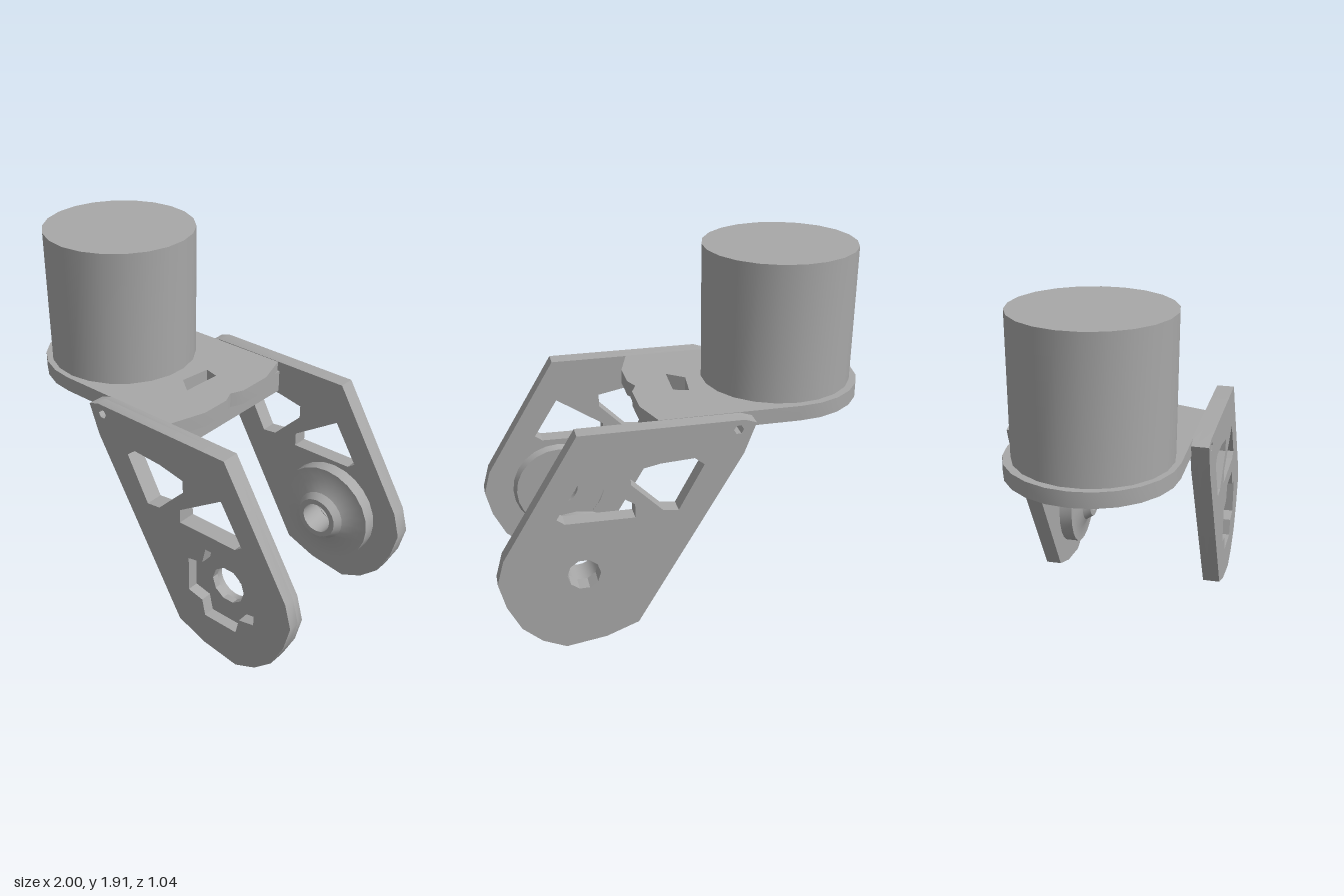
import * as THREE from 'three';
import { toCreasedNormals } from 'three/addons/utils/BufferGeometryUtils.js';

const HUB = [0.565, 0.43];

export function createModel() {
  const model = new THREE.Group();
  model.name = 'servoBracket';
  const grey = new THREE.MeshStandardMaterial({ color: 0xa8a8a8 });
  grey.name = 'grey plastic';

  const add = (name, geometry, crease = 0.6) => {
    const mesh = new THREE.Mesh(toCreasedNormals(geometry, crease), grey);
    mesh.name = name;
    model.add(mesh);
    return mesh;
  };
  const vecs = (pts) => pts.map(([x, y]) => new THREE.Vector2(x, y));
  const ring = ([cx, cy], r, n) => Array.from({ length: n }, (_, i) => {
    const a = (i / n) * Math.PI * 2;
    return [cx + r * Math.cos(a), cy + r * Math.sin(a)];
  });
  const slab = (outline, holes, depth) => {
    const shape = new THREE.Shape(vecs(outline));
    for (const h of holes) shape.holes.push(new THREE.Path(vecs(h)));
    return new THREE.ExtrudeGeometry(shape, { depth, bevelEnabled: false });
  };

  // Motor can standing on the round end of the deck
  add('motorCan', new THREE.CylinderGeometry(0.4, 0.395, 0.73, 22).translate(-0.568, 1.553, 0));

  // Deck: rounded at the motor, notched at the free end
  const deck = [[0.16, -0.44], [0.22, -0.26], [0.22, -0.07], [0.19, 0], [0.22, 0.07], [0.22, 0.23], [0.16, 0.425]];
  for (let i = 0; i <= 12; i++) {
    const a = Math.PI / 2 + (i / 12) * Math.PI;
    deck.push([-0.57 + 0.43 * Math.cos(a), -0.005 + 0.43 * Math.sin(a)]);
  }
  const slot = [[-0.07, -0.12], [0.01, -0.1], [0.0, 0.12], [-0.09, 0.05]];
  add('deck', slab(deck, [slot], 0.08).rotateX(Math.PI / 2).translate(0, 1.2, 0));

  // Cross beam under the deck, joining both arms
  add('crossBeam', new THREE.BoxGeometry(0.14, 0.12, 0.88).translate(0.1, 1.085, -0.01));

  // Arm outline with two triangular windows and a small screw hole
  const arm = [[-0.31, 1.18], [-0.25, 1.02], [0.29, 0.1], [0.46, 0.035], [0.67, 0.005], [0.79, 0.06],
    [0.89, 0.15], [0.96, 0.29], [0.995, 0.43], [0.96, 0.56], [0.575, 1.2], [-0.25, 1.2]];
  const windows = [
    [[-0.05, 0.98], [0.0, 1.02], [0.17, 1.01], [0.32, 0.98], [0.32, 0.91], [0.16, 0.75], [0.08, 0.74]],
    [[0.56, 0.97], [0.3, 0.8], [0.3, 0.725], [0.65, 0.73], [0.69, 0.76]],
    ring([-0.22, 1.15], 0.025, 6),
  ];

  // Cross-shaped recess for the servo horn
  const recess = [];
  for (let i = 0; i < 4; i++) {
    const c = Math.round(Math.cos(i * Math.PI / 2)), s = Math.round(Math.sin(i * Math.PI / 2));
    for (const [x, y] of [[0.12, -0.12], [0.21, -0.1], [0.21, 0.1]]) {
      recess.push([HUB[0] + c * x - s * y, HUB[1] + s * x + c * y]);
    }
  }
  add('frontArmOuter', slab(arm, [...windows, recess], 0.06).translate(0, 0, 0.455));
  add('frontArmInner', slab(arm, [...windows, ring(HUB, 0.1, 10)], 0.035).translate(0, 0, 0.42));
  add('backArm', slab(arm, [...windows, ring(HUB, 0.085, 10)], 0.085).translate(0, 0, -0.528));

  // Turned bosses on the inner faces of the arms
  const boss = (name, profile) => add(name,
    new THREE.LatheGeometry(vecs(profile), 24).rotateX(Math.PI / 2).translate(HUB[0], HUB[1], 0), 0.5);
  boss('frontBoss', [[0.1, 0.425], [0.1, 0.385], [0.25, 0.385], [0.27, 0.425], [0.1, 0.425]].slice().sort(() => 0)
    .map((p) => p));
  boss('backBoss', [[0.085, -0.45], [0.275, -0.45], [0.275, -0.37], [0.2, -0.37], [0.14, -0.34],
    [0.115, -0.3], [0.085, -0.3], [0.085, -0.45]]);

  return model;
}
